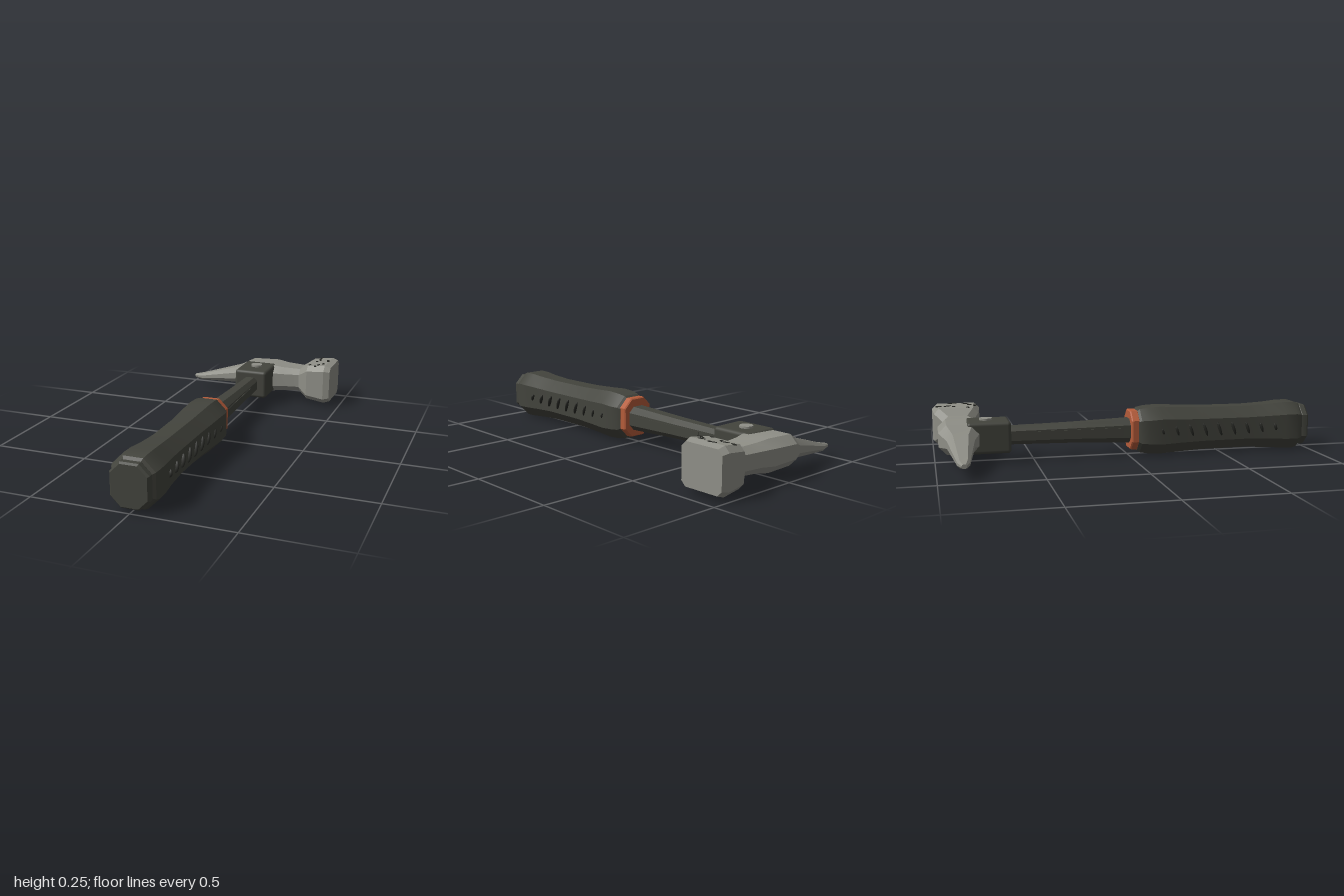
import * as THREE from 'three';
import { toCreasedNormals } from 'three/addons/utils/BufferGeometryUtils.js';
import { RoundedBoxGeometry } from 'three/addons/geometries/RoundedBoxGeometry.js';

const material = (name, color) => {
  const m = new THREE.MeshStandardMaterial({ color });
  m.name = name;
  return m;
};

// Loft of chamfered rectangles along 'x' or 'z'.
// Section: [t, uMin, uMax, vMin, vMax, chamfer]; u,v are y,z for 'x' and x,y for 'z'.
function loft(axis, sections, crease = 0.4) {
  const pos = [], idx = [], n = 8;
  for (const [t, a, b, c, d, k] of sections) {
    const loop = [[b, c + k], [b, d - k], [b - k, d], [a + k, d], [a, d - k], [a, c + k], [a + k, c], [b - k, c]];
    for (const [u, v] of loop) pos.push(...(axis === 'x' ? [t, u, v] : [u, v, t]));
  }
  const last = (sections.length - 1) * n;
  for (let i = 0; i < last; i += n) {
    for (let j = 0; j < n; j++) {
      const p = i + j, q = i + (j + 1) % n;
      idx.push(p, q, q + n, p, q + n, p + n);
    }
  }
  for (let j = 1; j < n - 1; j++) {
    idx.push(0, j + 1, j, last, last + j, last + j + 1);
  }
  const g = new THREE.BufferGeometry();
  g.setAttribute('position', new THREE.Float32BufferAttribute(pos, 3));
  g.setIndex(idx);
  return toCreasedNormals(g, crease);
}

export function createModel() {
  const group = new THREE.Group();
  group.name = 'hammer';
  const dark = material('dark rubber', 0x43443d);
  const black = material('black rubber', 0x262723);
  const steel = material('steel', 0x8f8f87);
  const orange = material('orange', 0xb55c3a);

  const add = (name, geometry, mat, x = 0, y = 0, z = 0) => {
    const m = new THREE.Mesh(geometry, mat);
    m.name = name;
    m.position.set(x, y, z);
    group.add(m);
    return m;
  };
  // Sections symmetric in x: [z, half width, y low, y high, chamfer]
  const along = (rows) => loft('z', rows.map(([z, w, lo, hi, k]) => [z, -w, w, lo, hi, k]));

  // Grip swelling at both ends
  add('grip', along([
    [0.045, 0.092, 0.025, 0.232, 0.05], [0.06, 0.102, 0.013, 0.243, 0.055],
    [0.10, 0.112, 0.006, 0.25, 0.06], [0.17, 0.113, 0.002, 0.254, 0.06],
    [0.27, 0.107, 0.008, 0.248, 0.058], [0.40, 0.1, 0.014, 0.242, 0.055],
    [0.65, 0.098, 0.015, 0.241, 0.055], [0.78, 0.104, 0.008, 0.247, 0.057],
    [0.86, 0.113, 0.002, 0.254, 0.06], [0.925, 0.114, 0, 0.255, 0.06],
    [0.95, 0.107, 0.007, 0.248, 0.058], [0.962, 0.094, 0.02, 0.235, 0.052],
  ]), dark);
  add('endCap', along([
    [0.95, 0.09, 0.026, 0.23, 0.048], [0.965, 0.096, 0.019, 0.236, 0.05],
    [0.99, 0.096, 0.019, 0.236, 0.05], [1, 0.088, 0.027, 0.228, 0.046],
  ]), dark);

  // Slanted ribs on both sides of the grip
  for (const side of [-1, 1]) {
    for (let i = 0; i < 9; i++) {
      const end = Math.abs(i - 4) / 4;
      const rib = add('gripRib', new THREE.SphereGeometry(1, 10, 8), black,
        side * (0.1 + 0.006 * end * end), 0.13, 0.17 + i * 0.079);
      rib.scale.set(0.014, 0.038 - 0.018 * end * end, 0.008);
      rib.rotation.x = -0.35;
    }
  }

  add('collar', along([
    [0.008, 0.086, 0.034, 0.23, 0.045], [0.014, 0.091, 0.029, 0.235, 0.047],
    [0.047, 0.091, 0.029, 0.235, 0.047], [0.053, 0.086, 0.034, 0.23, 0.045],
  ]), orange);

  // Tapered shaft with a raised strip on each side
  add('shaft', along([
    [-0.68, 0.043, 0.083, 0.172, 0.02], [-0.3, 0.05, 0.077, 0.18, 0.024], [0.03, 0.06, 0.065, 0.192, 0.03],
  ]), dark);
  for (const side of [-1, 1]) {
    const strip = add('shaftStrip', new THREE.BoxGeometry(0.008, 0.043, 0.45), dark, side * 0.0512, 0.127, -0.255);
    strip.rotation.y = side * 0.023;
  }

  // Socket block and its pin
  add('socket', new RoundedBoxGeometry(0.192, 0.162, 0.222, 3, 0.018), dark, 0, 0.13, -0.73);
  add('pin', new THREE.CylinderGeometry(0.033, 0.033, 0.182, 24), steel, 0, 0.13, -0.74);

  // Head: pointed peen to the right, square poll to the left
  add('head', loft('x', [
    [-0.45, 0.06, 0.08, -0.888, -0.862, 0.006], [-0.40, 0.053, 0.09, -0.905, -0.845, 0.011],
    [-0.15, 0.068, 0.166, -0.942, -0.805, 0.03], [-0.075, 0.052, 0.203, -0.98, -0.77, 0.04],
    [0.08, 0.048, 0.209, -0.98, -0.757, 0.04], [0.15, 0.058, 0.2, -0.962, -0.773, 0.034],
    [0.25, 0.062, 0.196, -0.95, -0.788, 0.03], [0.305, 0.028, 0.23, -0.991, -0.755, 0.028],
    [0.41, 0.016, 0.243, -1, -0.744, 0.028], [0.445, 0.027, 0.232, -0.991, -0.755, 0.024],
  ], 0.3), steel);

  // Dark chips on top of the poll: [x, z, length along z]
  const chips = [[0.345, -0.965, 0.04], [0.348, -0.92, 0.045], [0.335, -0.885, 0.02], [0.4, -0.9, 0.035],
    [0.312, -0.81, 0.025], [0.352, -0.772, 0.022], [0.365, -0.8, 0.03], [0.39, -0.822, 0.04], [0.405, -0.88, 0.025]];
  chips.forEach(([x, z, length], i) => {
    const chip = add('chip', new THREE.CylinderGeometry(0.5, 0.5, 1, 5), black, x, 0.23 + (x - 0.305) * 0.124, z);
    chip.scale.set(0.016, 0.004, length);
    chip.rotation.set(0, i % 2 ? 0.3 : -0.25, 0.123, 'ZYX');
  });

  return group;
}
